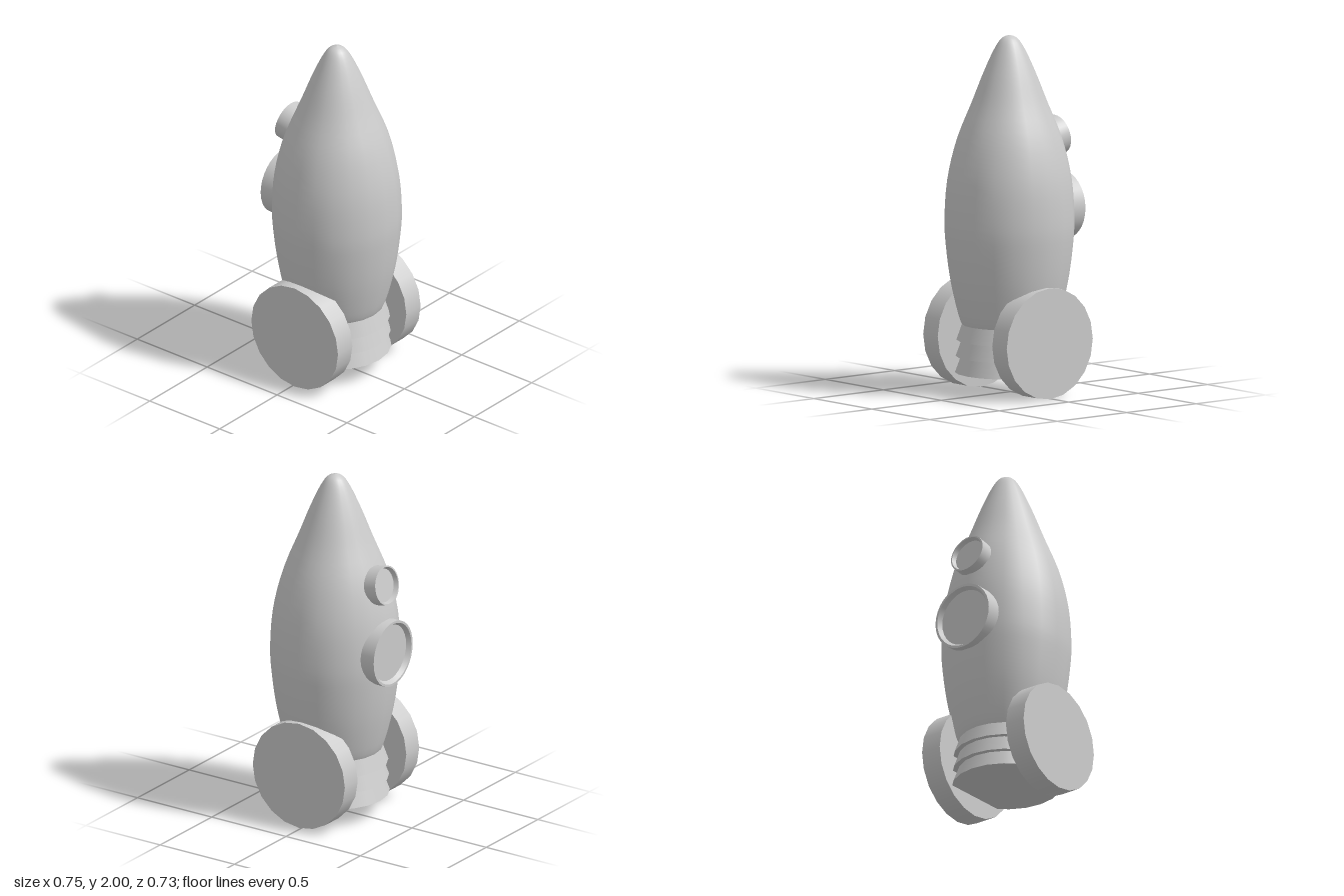
import * as THREE from 'three';

const material = new THREE.MeshStandardMaterial({ color: 0xcccccc, side: THREE.DoubleSide });
const SIDES = 20;
const AXIS_X = 0.013;
const AXIS_Z = -0.005;

function addMesh(parent, name, geometry) {
  const mesh = new THREE.Mesh(geometry, material);
  mesh.name = name;
  parent.add(mesh);
  return mesh;
}

// Lathe each straight segment on its own so that its edges stay sharp
function addTurnedPart(parent, name, points, sides) {
  const part = new THREE.Group();
  part.name = name;
  for (let i = 0; i < points.length - 1; i++) {
    const pair = [points[i], points[i + 1]].map(([r, y]) => new THREE.Vector2(r, y));
    addMesh(part, name + 'Face' + (i + 1), new THREE.LatheGeometry(pair, sides));
  }
  parent.add(part);
  return part;
}

// Porthole: rim ring with a sloped recess, facing along local +y
function addPorthole(parent, name, radius, depth, position, tilt) {
  const porthole = addTurnedPart(parent, name, [
    [radius, -depth],
    [radius, 0],
    [radius * 0.93, 0],
    [radius * 0.85, -0.025],
    [0, -0.025],
  ], 32);
  porthole.position.set(...position);
  porthole.rotation.z = Math.PI / 2 - tilt;
  return porthole;
}

export function createModel() {
  const rocket = new THREE.Group();
  rocket.name = 'rocket';

  // Smooth bullet-shaped hull
  const profile = new THREE.SplineCurve([
    [0.25, 0.36], [0.28, 0.43], [0.325, 0.62], [0.352, 0.82], [0.36, 0.98],
    [0.344, 1.2], [0.292, 1.42], [0.208, 1.63], [0.145, 1.79], [0.088, 1.915],
    [0.045, 1.98], [0, 2],
  ].map(([r, y]) => new THREE.Vector2(r, y)));
  const hullPoints = profile.getPoints(40);
  hullPoints[40].x = 0;
  const hull = addMesh(rocket, 'hull', new THREE.LatheGeometry(hullPoints, SIDES));
  hull.position.set(AXIS_X, 0, AXIS_Z);

  // Nozzle of three stacked, flared rings
  const nozzle = addTurnedPart(rocket, 'nozzle', [
    [0, 0.117], [0.302, 0.117], [0.268, 0.208], [0.298, 0.208],
    [0.265, 0.299], [0.294, 0.299], [0.262, 0.39], [0.2, 0.39],
  ], SIDES);
  nozzle.position.set(AXIS_X, 0, AXIS_Z);

  // Disc-shaped boosters at front and back
  for (const [name, z] of [['frontDisc', 0.3025], ['backDisc', -0.2925]]) {
    const geometry = new THREE.CylinderGeometry(0.31, 0.31, 0.125, SIDES);
    geometry.rotateX(Math.PI / 2);
    addMesh(rocket, name, geometry).position.set(0.015, 0.313, z);
  }

  // Two portholes on the right-hand side, the upper one tipped up the hull
  addPorthole(rocket, 'largePorthole', 0.189, 0.13, [-0.377, 1.015, AXIS_Z], 0);
  addPorthole(rocket, 'smallPorthole', 0.111, 0.1, [-0.336, 1.412, AXIS_Z], 0.2);

  return rocket;
}
